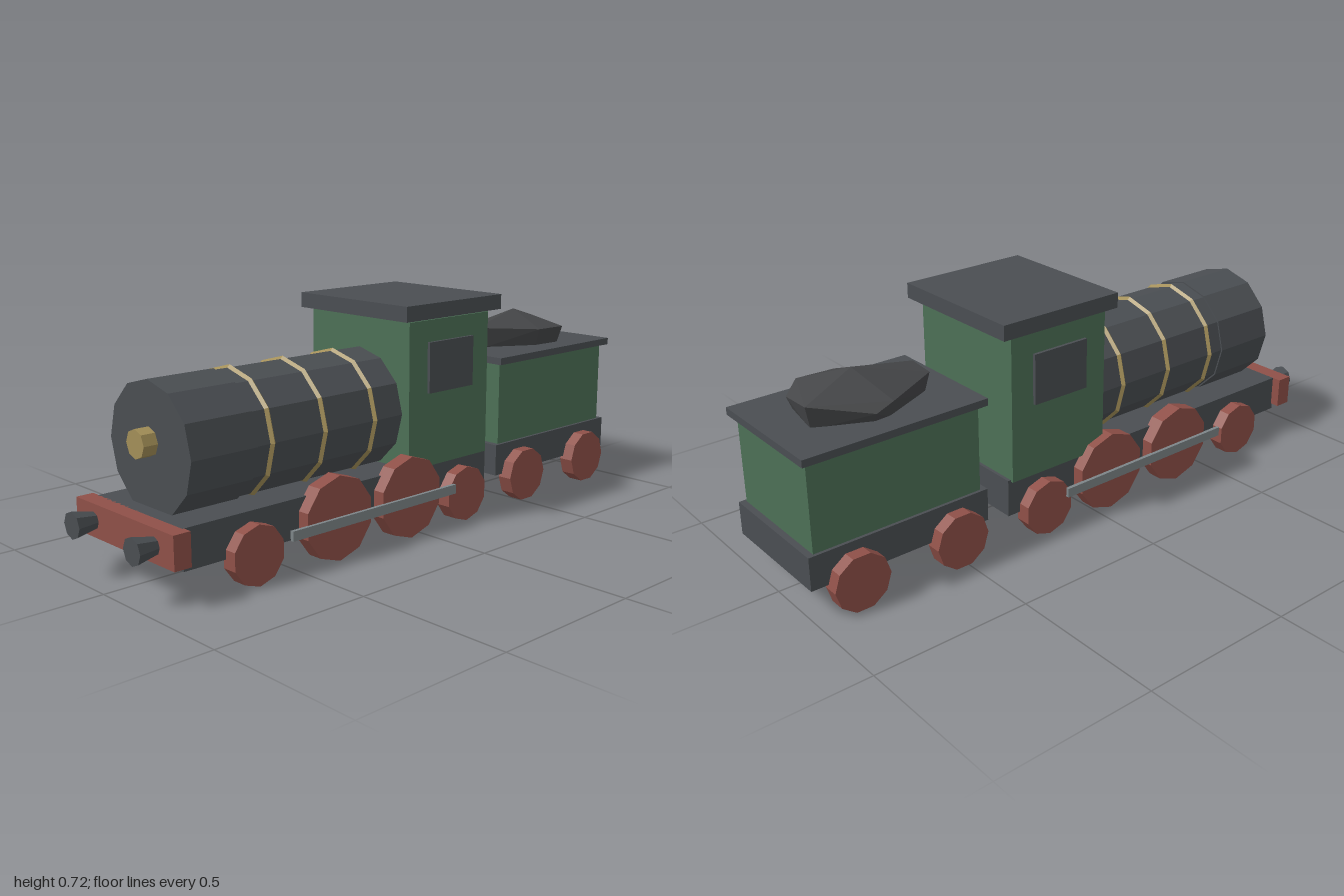
import * as THREE from 'three';
import { ConvexGeometry } from 'three/addons/geometries/ConvexGeometry.js';

const paint = (name, color, side = THREE.FrontSide) =>
  new THREE.MeshStandardMaterial({ name, color, side, flatShading: true });

export function createModel() {
  const iron = paint('dark iron', 0x4a4e52, THREE.DoubleSide);
  const green = paint('green', 0x4c7056);
  const red = paint('red', 0x8f5048);
  const brass = paint('brass', 0xa38f58);
  const steel = paint('steel', 0x7d8588);
  const coalBlack = paint('coal', 0x454648);

  const model = new THREE.Group();
  model.name = 'steamTrain';
  const engine = new THREE.Group();
  engine.name = 'engine';
  const tender = new THREE.Group();
  tender.name = 'tender';
  model.add(engine, tender);

  const add = (parent, name, geometry, material) => {
    const mesh = new THREE.Mesh(geometry, material);
    mesh.name = name;
    parent.add(mesh);
    return mesh;
  };

  // Box given by its limits on each axis
  const box = (x0, x1, y0, y1, z0, z1) =>
    new THREE.BoxGeometry(x1 - x0, y1 - y0, z1 - z0)
      .translate((x0 + x1) / 2, (y0 + y1) / 2, (z0 + z1) / 2);

  // Box with the underside left out
  const openBox = (...limits) => {
    const g = box(...limits);
    g.setIndex(Array.from(g.index.array).filter((_, i) => i < 18 || i >= 24));
    g.clearGroups();
    return g;
  };

  // Faceted cylinder lying along z
  const barrel = (rFront, rBack, z0, z1, sides, x, y) =>
    new THREE.CylinderGeometry(rFront, rBack, z1 - z0, sides)
      .rotateX(Math.PI / 2).translate(x, y, (z0 + z1) / 2);

  // Ten-sided wheel with its axle along x
  const wheel = (r, x, z, turn) =>
    new THREE.CylinderGeometry(r, r, 0.05, 10, 1, false, turn)
      .rotateZ(Math.PI / 2).translate(x, r, z);

  // Engine frame, cab and roof
  add(engine, 'engineFrame', openBox(-0.21, 0.21, 0.09, 0.21, -0.33, 0.88), iron);
  add(engine, 'cab', box(-0.22, 0.22, 0.205, 0.668, -0.32, 0.04), green);
  add(engine, 'cabRoof', box(-0.24, 0.24, 0.674, 0.722, -0.36, 0.073), iron);

  // Boiler, smokebox, door knob and bands
  add(engine, 'boiler', barrel(0.19, 0.19, 0.03, 0.61, 12, 0, 0.38), iron);
  add(engine, 'smokebox', barrel(0.195, 0.195, 0.61, 0.834, 12, 0, 0.38), iron);
  add(engine, 'doorKnob', barrel(0.043, 0.043, 0.83, 0.88, 8, 0, 0.4), brass);
  for (const z of [0.155, 0.355, 0.553]) {
    add(engine, 'boilerBand', new THREE.TorusGeometry(0.187, 0.012, 4, 12), brass)
      .position.set(0, 0.38, z);
  }

  // Front beam
  add(engine, 'frontBeam', box(-0.24, 0.24, 0.11, 0.21, 0.875, 0.93), red);

  // Tender frame, body and lid
  add(tender, 'tenderFrame', openBox(-0.2, 0.2, 0.1, 0.205, -1, -0.4), iron);
  add(tender, 'tenderBody', box(-0.19, 0.19, 0.2, 0.48, -0.98, -0.42), green);
  add(tender, 'tenderLid', box(-0.212, 0.212, 0.48, 0.503, -1, -0.4), iron);

  // Parts on both sides
  for (const s of [-1, 1]) {
    add(engine, 'cabWindow', box(s * 0.225 - 0.005, s * 0.225 + 0.005, 0.44, 0.6, -0.24, -0.04), iron);
    add(engine, 'bumper', barrel(0.041, 0.026, 0.93, 1, 8, s * 0.15, 0.16), iron);
    for (const [r, z] of [[0.09, 0.655], [0.13, 0.355], [0.13, 0.055], [0.09, -0.2]]) {
      add(engine, 'engineWheel', wheel(r, s * 0.225, z, Math.PI / 2), red);
    }
    add(engine, 'couplingRod', box(s * 0.255 - 0.006, s * 0.255 + 0.006, 0.106, 0.136, -0.135, 0.543), steel);
    for (const z of [-0.52, -0.86]) {
      add(tender, 'tenderWheel', wheel(0.09, s * 0.215, z, 0), red);
    }
  }

  // Coal heap: rough ring of lumps, a smaller foot and a peak
  const ring = [
    [-0.063, 0.57, -0.9], [0.095, 0.54, -0.873], [0.148, 0.56, -0.81], [0.14, 0.56, -0.69],
    [0.02, 0.572, -0.497], [-0.058, 0.56, -0.492], [-0.143, 0.55, -0.67], [-0.148, 0.53, -0.73],
  ].map((p) => new THREE.Vector3(...p));
  const foot = ring.map((p) => new THREE.Vector3(p.x * 0.88, 0.495, -0.69 + (p.z + 0.69) * 0.92));
  const heap = new ConvexGeometry([...ring, ...foot, new THREE.Vector3(0, 0.617, -0.715)]);
  add(tender, 'coalHeap', heap, coalBlack);

  return model;
}
